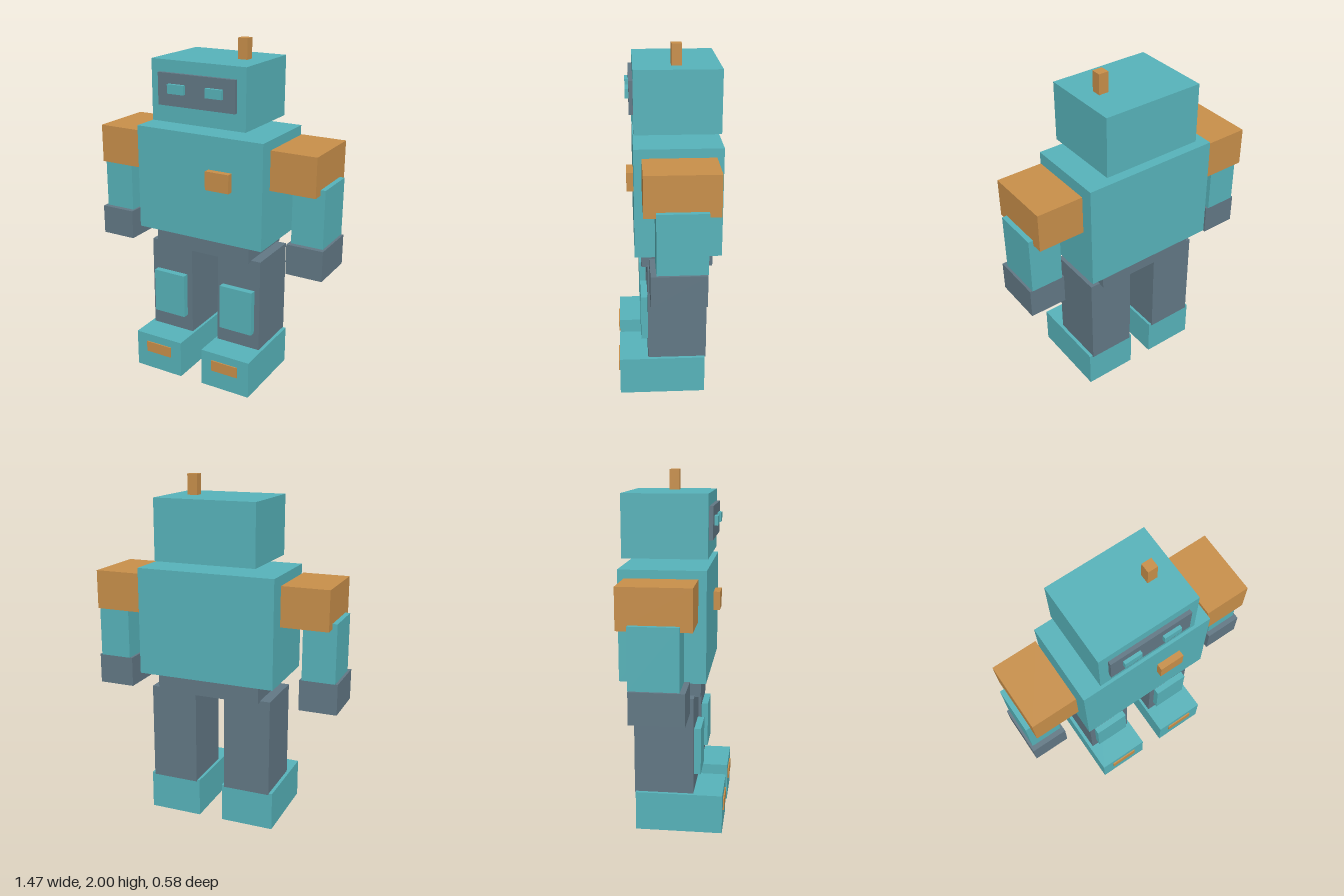
import * as THREE from 'three';

export function createModel() {
  const robot = new THREE.Group();
  robot.name = 'robot';

  const paint = (name, color) => {
    const m = new THREE.MeshStandardMaterial({ color });
    m.name = name;
    return m;
  };
  const teal = paint('teal', 0x57b3ba);
  const grey = paint('slate grey', 0x627885);
  const orange = paint('orange', 0xc88f4a);

  // Box given by its extents along each axis
  function block(parent, name, material, [x0, x1], [y0, y1], [z0, z1]) {
    const mesh = new THREE.Mesh(new THREE.BoxGeometry(x1 - x0, y1 - y0, z1 - z0), material);
    mesh.position.set((x0 + x1) / 2, (y0 + y1) / 2, (z0 + z1) / 2);
    mesh.name = name;
    parent.add(mesh);
  }

  // Head with antenna and visor
  const head = new THREE.Group();
  head.name = 'head';
  robot.add(head);
  block(head, 'skull', teal, [-0.295, 0.295], [1.54, 1.885], [-0.285, 0.184]);
  block(head, 'antenna', orange, [0.131, 0.189], [1.885, 2], [-0.077, -0.021]);
  block(head, 'visor', grey, [-0.241, 0.241], [1.637, 1.817], [0.18, 0.206]);

  // Body
  block(robot, 'torso', teal, [-0.402, 0.402], [0.882, 1.495], [-0.288, 0.188]);
  block(robot, 'chestBadge', orange, [0.067, 0.215], [1.196, 1.304], [0.18, 0.226]);
  block(robot, 'pelvis', grey, [-0.305, 0.305], [0.777, 0.882], [-0.248, 0.151]);

  // Paired parts, mirrored across x
  for (const [label, side] of [['left', 1], ['right', -1]]) {
    const span = (a, b) => (side > 0 ? [a, b] : [-b, -a]);
    const arm = new THREE.Group();
    arm.name = label + 'Arm';
    const leg = new THREE.Group();
    leg.name = label + 'Leg';
    robot.add(arm, leg);

    block(head, label + 'Eye', teal, span(0.067, 0.17), [1.708, 1.76], [0.2, 0.226]);

    block(arm, 'shoulder', orange, span(0.425, 0.692), [1.229, 1.453], [-0.247, 0.146]);
    block(arm, 'forearm', teal, span(0.532, 0.72), [0.926, 1.26], [-0.183, 0.083]);
    block(arm, 'hand', grey, span(0.518, 0.734), [0.75, 0.926], [-0.18, 0.113]);

    block(leg, 'shin', grey, span(0.088, 0.364), [0.218, 0.784], [-0.215, 0.118]);
    block(leg, 'kneePad', teal, span(0.123, 0.331), [0.329, 0.599], [0.11, 0.156]);
    block(leg, 'foot', teal, span(0.072, 0.384), [0, 0.225], [-0.208, 0.282]);
    block(leg, 'toePlate', orange, span(0.142, 0.312), [0.11, 0.176], [0.28, 0.289]);
  }

  return robot;
}
